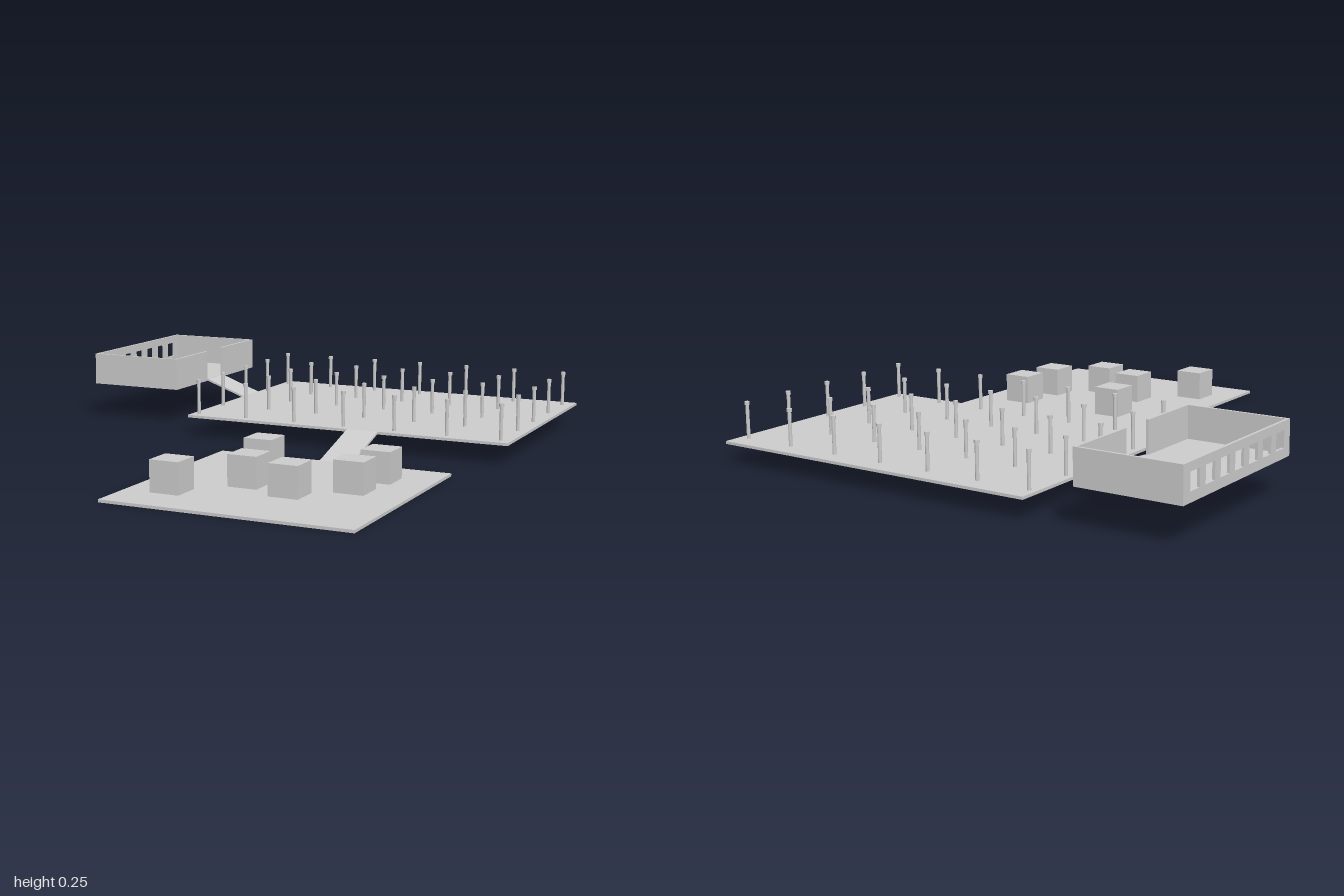
import * as THREE from 'three';

const material = new THREE.MeshStandardMaterial({ color: 0xcccccc, flatShading: true });

export function createModel() {
  const model = new THREE.Group();

  function add(parent, name, geometry) {
    const mesh = new THREE.Mesh(geometry, material);
    mesh.name = name;
    parent.add(mesh);
    return mesh;
  }

  // Box given by its extents on each axis
  function slab(parent, name, [x0, x1], [y0, y1], [z0, z1]) {
    const geometry = new THREE.BoxGeometry(x1 - x0, y1 - y0, z1 - z0);
    geometry.translate((x0 + x1) / 2, (y0 + y1) / 2, (z0 + z1) / 2);
    return add(parent, name, geometry);
  }

  // Thin slab sheared upward along one axis; top runs from yStart to yEnd
  function ramp(name, xs, zs, axis, yStart, yEnd) {
    const mesh = slab(model, name, xs, [-0.008, 0], zs);
    const p = mesh.geometry.attributes.position;
    const [a, b] = axis === 'x' ? xs : zs;
    for (let i = 0; i < p.count; i++) {
      const t = ((axis === 'x' ? p.getX(i) : p.getZ(i)) - a) / (b - a);
      p.setY(i, p.getY(i) + yStart + t * (yEnd - yStart));
    }
    mesh.geometry.computeVertexNormals();
  }

  // Lower court with scattered blocks
  slab(model, 'lowerCourt', [-0.085, 0.785], [0, 0.01], [0.157, 1]);
  const blocks = new THREE.Group();
  blocks.name = 'blocks';
  model.add(blocks);
  const h = 0.0525;
  for (const [x, z] of [[0.175, 0.345], [0.61, 0.355], [0.592, 0.54],
    [0.25, 0.612], [0.428, 0.68], [0.065, 0.795]]) {
    slab(blocks, 'block', [x - h, x + h], [0.01, 0.118], [z - h, z + h]);
  }

  // Column hall
  slab(model, 'hallFloor', [-0.36, 0.905], [0.07, 0.08], [-1, -0.085]);
  const columns = new THREE.Group();
  columns.name = 'columns';
  model.add(columns);
  const shaft = new THREE.CylinderGeometry(0.0065, 0.0065, 0.122, 12).translate(0, 0.139, 0);
  const cap = new THREE.CylinderGeometry(0.009, 0.009, 0.012, 12).translate(0, 0.206, 0);
  for (let i = 0; i < 7; i++) {
    for (let j = 0; j < 5; j++) {
      const column = new THREE.Group();
      column.name = 'column';
      column.position.set(-0.333 + i * 0.2, 0, -0.928 + j * 0.2005);
      add(column, 'shaft', shaft);
      add(column, 'cap', cap);
      columns.add(column);
    }
  }

  // Sloping walkways
  ramp('frontRamp', [0.3, 0.42], [-0.085, 0.157], 'z', 0.08, 0.01);
  ramp('roomRamp', [-0.525, -0.36], [-0.693, -0.56], 'x', 0.14, 0.08);

  // Open-topped room
  const room = new THREE.Group();
  room.name = 'room';
  model.add(room);
  const [x0, x1, z0, z1, y0, y1, t] = [-0.905, -0.527, -0.975, -0.3, 0.132, 0.255, 0.01];
  slab(room, 'roomFloor', [x0, x1], [y0, y0 + 0.008], [z0, z1]);
  slab(room, 'backWall', [x0 + t, x1], [y0 + 0.008, y1], [z0, z0 + t]);
  slab(room, 'frontWall', [x0 + t, x1], [y0 + 0.008, y1], [z1 - t, z1]);
  // Wall halves either side of the doorway
  slab(room, 'doorWall', [x1 - t, x1], [y0 + 0.008, y1], [z0 + t, -0.693]);
  slab(room, 'doorWall', [x1 - t, x1], [y0 + 0.008, y1], [-0.56, z1 - t]);

  // Outer wall pierced by a row of windows
  function rectangle(Kind, a0, a1, b0, b1) {
    const path = new Kind();
    path.moveTo(a0, b0);
    path.lineTo(a1, b0);
    path.lineTo(a1, b1);
    path.lineTo(a0, b1);
    path.closePath();
    return path;
  }
  const wall = rectangle(THREE.Shape, z0, z1, y0 + 0.008, y1);
  for (let i = -3; i <= 3; i++) {
    const c = (z0 + z1) / 2 + i * 0.09;
    wall.holes.push(rectangle(THREE.Path, c - 0.028, c + 0.028, 0.166, 0.225));
  }
  const wallGeometry = new THREE.ExtrudeGeometry(wall, { depth: t, bevelEnabled: false });
  const windowWall = add(room, 'windowWall', wallGeometry);
  windowWall.rotation.y = -Math.PI / 2;
  windowWall.position.x = x0 + t;

  return model;
}
